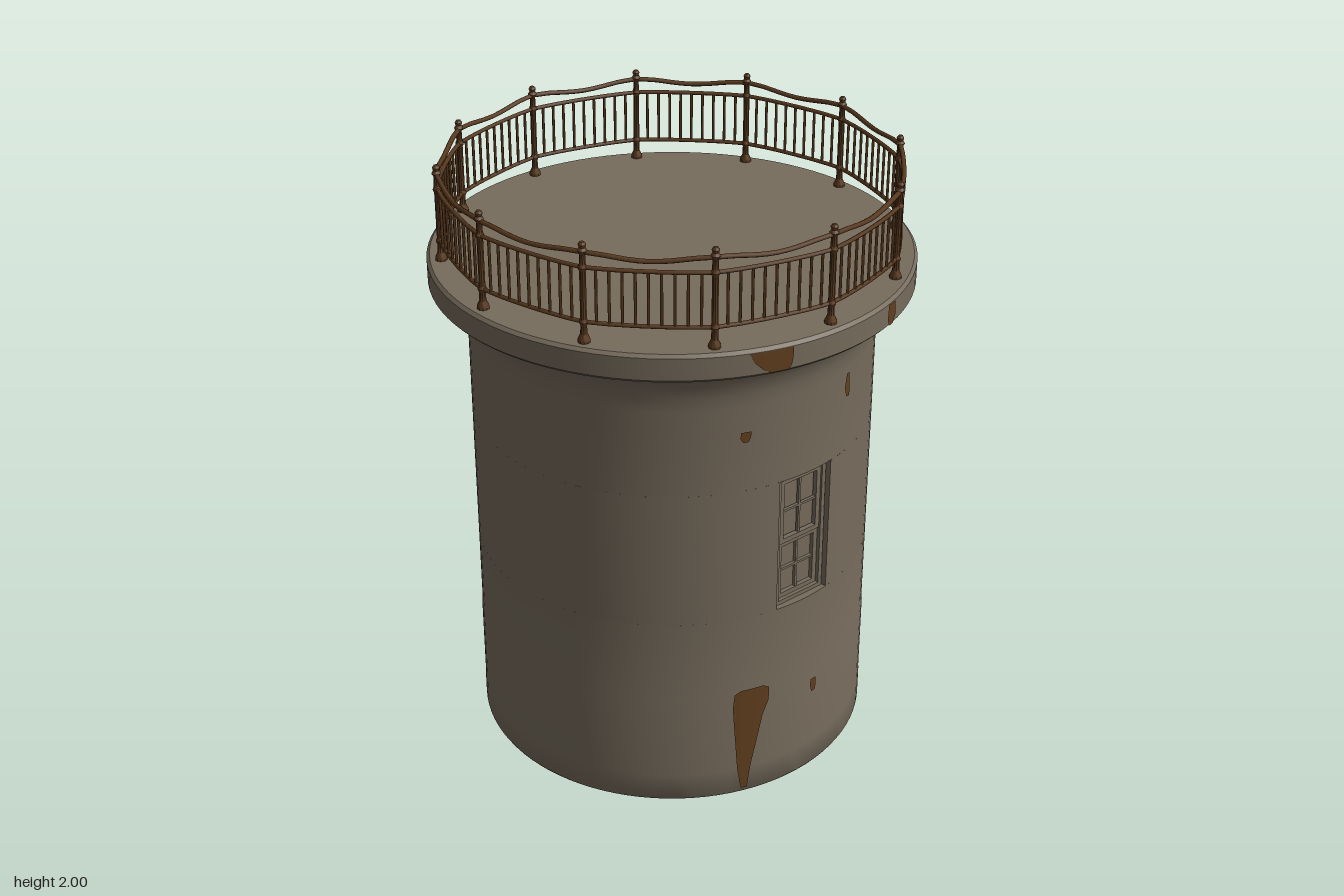
import * as THREE from 'three';
import { toCreasedNormals } from 'three/addons/utils/BufferGeometryUtils.js';

const wallMat = new THREE.MeshStandardMaterial({ color: 0x776c5d, side: THREE.DoubleSide });
wallMat.name = 'weathered plaster';
const rustMat = new THREE.MeshStandardMaterial({ color: 0x623f1f, side: THREE.DoubleSide });
rustMat.name = 'rust stain';
const ironMat = new THREE.MeshStandardMaterial({ color: 0x5a3a1f });
ironMat.name = 'rusted iron';

const R = 0.648, WIN_LOW = 0.685, WIN_HIGH = 1.15;
const WIN_ANGLE = Math.asin(0.105 / R);

function add(parent, name, geometry, material) {
  const mesh = new THREE.Mesh(geometry, material);
  mesh.name = name;
  parent.add(mesh);
  return mesh;
}

function turned(points, segments, start = 0, length = Math.PI * 2) {
  const profile = points.map(([r, y]) => new THREE.Vector2(r, y));
  return toCreasedNormals(new THREE.LatheGeometry(profile, segments, start, length), 0.6);
}

function box(parent, name, w, h, d, x, y, z) {
  return add(parent, name, new THREE.BoxGeometry(w, h, d).translate(x, y, z), wallMat);
}

// Stain that follows a round wall; rows are [y, left x, right x] from the bottom up
function stain(parent, name, radius, rows) {
  const cols = 6, pos = [], index = [];
  rows.forEach(([y, left, right], j) => {
    for (let i = 0; i <= cols; i++) {
      const a = Math.asin((left + (right - left) * i / cols) / radius);
      pos.push(radius * Math.sin(a), y, radius * Math.cos(a));
      if (j && i) {
        const d = j * (cols + 1) + i, c = d - 1, b = d - cols - 1, e = b - 1;
        index.push(e, b, d, e, d, c);
      }
    }
  });
  const g = new THREE.BufferGeometry();
  g.setAttribute('position', new THREE.Float32BufferAttribute(pos, 3));
  g.setIndex(index);
  g.computeVertexNormals();
  add(parent, name, g, rustMat);
}

// Recessed double-hung window facing +z
function makeWindow() {
  const w = new THREE.Group();
  const h = WIN_HIGH - WIN_LOW, mid = (WIN_LOW + WIN_HIGH) / 2, z = 0.6;
  add(w, 'windowPane', new THREE.PlaneGeometry(0.22, h).translate(0, mid, z), wallMat);
  for (const y of [WIN_LOW, WIN_HIGH]) {
    const ring = new THREE.RingGeometry(0.57, R, 12, 1, -Math.PI / 2 - WIN_ANGLE, WIN_ANGLE * 2);
    add(w, y === WIN_LOW ? 'windowSill' : 'windowHead', ring.rotateX(-Math.PI / 2).translate(0, y, 0), wallMat);
  }
  for (const s of [-1, 1]) {
    const jamb = new THREE.PlaneGeometry(0.08, h).rotateY(-s * Math.PI / 2);
    add(w, 'windowJamb', jamb.translate(0, mid, 0.608).rotateY(s * WIN_ANGLE), wallMat);
    box(w, 'windowFrameSide', 0.014, h, 0.03, s * 0.092, mid, z + 0.01);
  }
  box(w, 'windowFrameTop', 0.19, 0.014, 0.03, 0, WIN_HIGH - 0.007, z + 0.01);
  box(w, 'windowFrameBottom', 0.19, 0.014, 0.03, 0, WIN_LOW + 0.007, z + 0.01);
  // Upper and lower sashes, the upper one slightly forward
  [[0.7, 0.905, 0.006], [0.905, 1.135, 0.012]].forEach(([low, high, out]) => {
    const c = (low + high) / 2;
    for (const s of [-1, 1]) {
      box(w, 'sashStile', 0.016, high - low, 0.016, s * 0.075, c, z + out);
      box(w, 'sashRail', 0.166, 0.016, 0.016, 0, c + s * ((high - low) / 2 - 0.008), z + out);
    }
    box(w, 'sashBar', 0.008, high - low, 0.01, 0, c, z + out);
    box(w, 'sashBar', 0.15, 0.008, 0.01, 0, c, z + out);
  });
  return w;
}

// Bent bar between two angles, bowing outward a little and sagging in the middle
function rail(parent, name, a0, a1, y, sag, thickness) {
  const pts = [];
  for (let i = 0; i <= 6; i++) {
    const t = i / 6, a = a0 + (a1 - a0) * t, bow = Math.sin(Math.PI * t);
    const r = 0.72 - 0.012 * bow;
    pts.push(new THREE.Vector3(r * Math.sin(a), y - sag * bow * bow, r * Math.cos(a)));
  }
  add(parent, name, new THREE.TubeGeometry(new THREE.CatmullRomCurve3(pts), 12, thickness, 6), ironMat);
}

function makeRailing() {
  const railing = new THREE.Group();
  railing.name = 'railing';
  const post = turned([[0, 1.685], [0.019, 1.685], [0.019, 1.695], [0.011, 1.712], [0.01, 1.74],
    [0.014, 1.75], [0.01, 1.76], [0.01, 1.91], [0.014, 1.92], [0.01, 1.93], [0.009, 1.962],
    [0.015, 1.972], [0.009, 1.981], [0.012, 1.99], [0.007, 1.998], [0, 2]], 10);
  const baluster = new THREE.CylinderGeometry(0.0045, 0.0045, 0.17, 6).translate(0, 1.835, 0);
  const step = Math.PI / 6, count = 10;
  for (let k = 0; k < 12; k++) {
    const a = k * step;
    add(railing, 'post', post, ironMat).position.set(0.72 * Math.sin(a), 0, 0.72 * Math.cos(a));
    rail(railing, 'lowerRail', a, a + step, 1.75, 0, 0.007);
    rail(railing, 'middleRail', a, a + step, 1.92, 0, 0.007);
    rail(railing, 'handRail', a, a + step, 1.967, 0.016, 0.008);
    for (let i = 1; i < count; i++) {
      const t = i / count, b = a + step * t, r = 0.72 - 0.012 * Math.sin(Math.PI * t);
      add(railing, 'baluster', baluster, ironMat).position.set(r * Math.sin(b), 0, r * Math.cos(b));
    }
  }
  return railing;
}

export function createModel() {
  const model = new THREE.Group();
  model.name = 'roundTower';

  // Wall, with faint plinth steps and a gap for each window
  add(model, 'lowerWall', turned([[0, 0], [0.646, 0], [0.651, 0.008], [0.651, 0.1], [0.65, 0.115],
    [0.65, 0.39], [R, 0.405], [R, WIN_LOW]], 96), wallMat);
  for (const start of [0, Math.PI]) {
    add(model, 'middleWall', turned([[R, WIN_LOW], [R, WIN_HIGH]], 48,
      start + WIN_ANGLE, Math.PI - 2 * WIN_ANGLE), wallMat);
  }
  add(model, 'upperWall', turned([[R, WIN_HIGH], [R, 1.44], [0.652, 1.485], [0.663, 1.525],
    [0.682, 1.56], [0.706, 1.582], [0.735, 1.594], [0.755, 1.597]], 96), wallMat);

  // Rim and flat deck
  add(model, 'rim', turned([[0.755, 1.597], [0.765, 1.607], [0.765, 1.677], [0.755, 1.687],
    [0, 1.69]], 96), wallMat);

  // Windows and stains, the same at front and back
  for (const side of ['front', 'back']) {
    const face = new THREE.Group();
    face.name = side + 'Face';
    const win = makeWindow();
    win.name = side + 'Window';
    face.add(win);
    stain(face, 'longStain', 0.655, [[0.02, -0.22, -0.2], [0.1, -0.233, -0.19], [0.2, -0.24, -0.17],
      [0.3, -0.247, -0.15], [0.35, -0.25, -0.13], [0.4, -0.245, -0.13], [0.412, -0.225, -0.15]]);
    stain(face, 'rimStain', 0.768, [[1.607, -0.235, -0.185], [1.62, -0.26, -0.175],
      [1.645, -0.285, -0.17], [1.677, -0.3, -0.17]]);
    stain(face, 'rimStain', 0.768, [[1.607, 0.23, 0.255], [1.63, 0.222, 0.268], [1.677, 0.225, 0.265]]);
    stain(face, 'smallStain', 0.652, [[1.32, -0.232, -0.215], [1.335, -0.24, -0.208], [1.355, -0.238, -0.208]]);
    if (side === 'front') {
      stain(face, 'smallStain', 0.652, [[1.345, 0.17, 0.185], [1.38, 0.158, 0.186], [1.425, 0.168, 0.182]]);
      stain(face, 'smallStain', 0.655, [[0.305, 0.048, 0.065], [0.33, 0.04, 0.068], [0.355, 0.043, 0.066]]);
    } else {
      face.rotation.y = Math.PI;
    }
    model.add(face);
  }

  model.add(makeRailing());
  return model;
}
